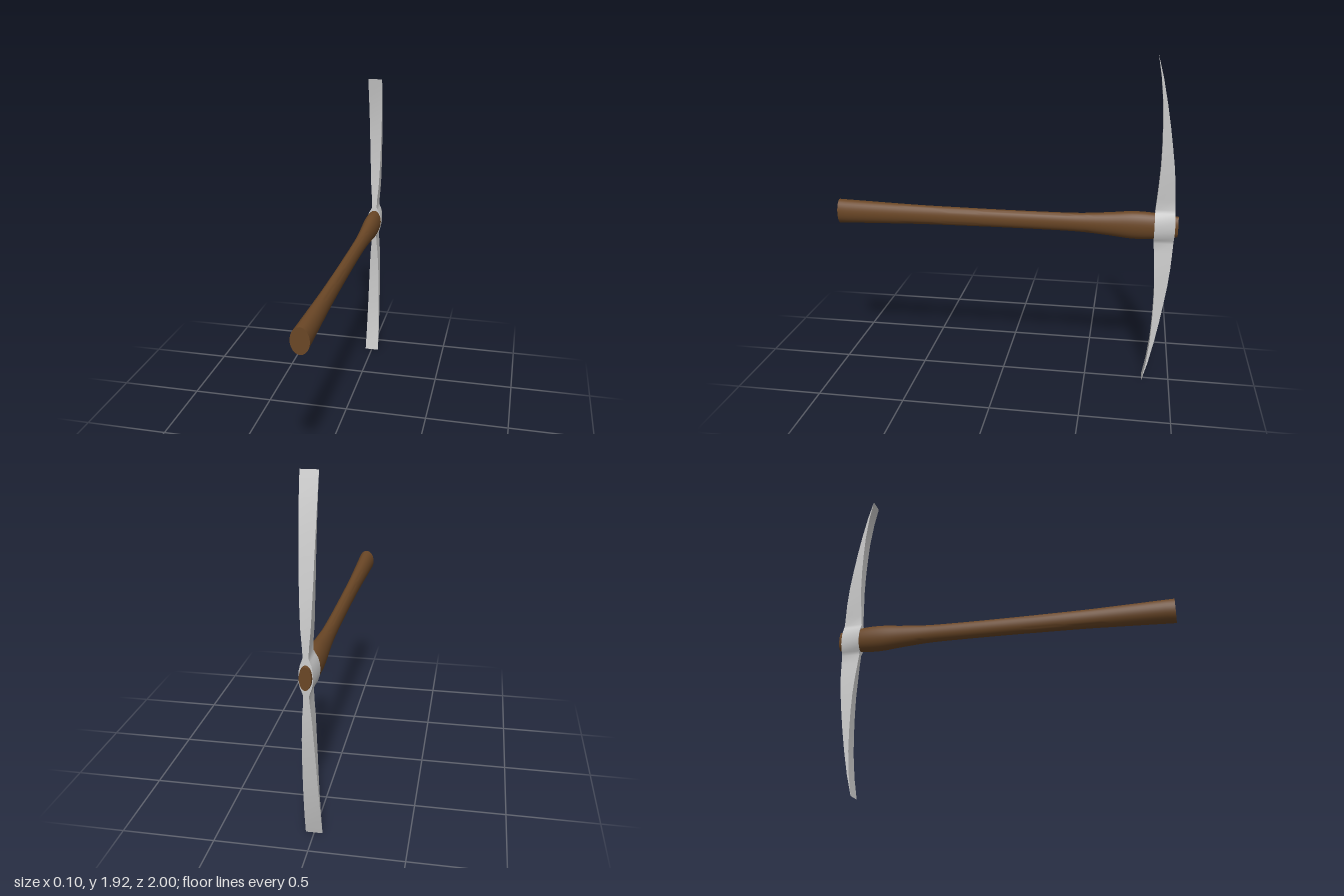
import * as THREE from 'three';
import { toCreasedNormals, mergeGeometries } from 'three/addons/utils/BufferGeometryUtils.js';

const AXIS_Y = 0.96; // height of the handle axis, also half the head's span

// Oval handle: a cylinder whose rings follow [half width, half height, z]
function handleGeometry() {
  const rings = new THREE.CatmullRomCurve3([
    [0.05, 0.073, 1], [0.044, 0.065, 0.75], [0.038, 0.058, 0.5], [0.035, 0.055, 0.25],
    [0.034, 0.053, 0], [0.034, 0.053, -0.25], [0.037, 0.056, -0.45], [0.044, 0.068, -0.61],
    [0.05, 0.081, -0.75], [0.046, 0.076, -0.87], [0.03, 0.06, -1],
  ].map((p) => new THREE.Vector3(...p)));
  const g = new THREE.CylinderGeometry(1, 1, 2, 32, 48);
  const pos = g.attributes.position;
  for (let i = 0; i < pos.count; i++) {
    const r = rings.getPoint((1 - pos.getY(i)) / 2);
    // local +y becomes the +z butt end
    pos.setXYZ(i, pos.getX(i) * r.x, -pos.getZ(i) * r.y, r.z);
  }
  return toCreasedNormals(g, 0.7);
}

// Head: four-sided sections along y, smooth lengthwise with sharp long edges
function headGeometry() {
  // [distance from axis, front z, back z, front half width, back half width]
  const half = [
    [0, -0.868, -0.983, 0.048, 0.035],
    [0.03, -0.868, -0.983, 0.046, 0.034],
    [0.06, -0.868, -0.981, 0.037, 0.028],
    [0.08, -0.868, -0.98, 0.025, 0.02],
    [0.1, -0.869, -0.979, 0.015, 0.014],
    [0.16, -0.874, -0.976, 0.018, 0.018],
    [0.24, -0.88, -0.971, 0.025, 0.025],
    [0.35, -0.886, -0.96, 0.03, 0.03],
    [0.46, -0.887, -0.944, 0.034, 0.034],
    [0.58, -0.884, -0.925, 0.037, 0.037],
    [0.7, -0.878, -0.903, 0.04, 0.04],
    [0.84, -0.862, -0.873, 0.043, 0.043],
    [0.96, -0.84, -0.84, 0.045, 0.045],
  ];
  const lower = half.slice(1).reverse().map(([d, ...rest]) => [-d, ...rest]);
  const corners = [...lower, ...half].map(([y, zf, zb, wf, wb]) => [
    [-wf, y, zf], [wf, y, zf], [wb, y, zb], [-wb, y, zb],
  ]);
  const sides = [0, 1, 2, 3].map((k) => {
    const verts = [], index = [];
    corners.forEach((c, i) => {
      verts.push(...c[k], ...c[(k + 1) % 4]);
      if (i < corners.length - 1) {
        const a = i * 2;
        index.push(a, a + 1, a + 3, a, a + 3, a + 2);
      }
    });
    const g = new THREE.BufferGeometry();
    g.setAttribute('position', new THREE.Float32BufferAttribute(verts, 3));
    g.setIndex(index);
    g.computeVertexNormals();
    return g;
  });
  return mergeGeometries(sides);
}

export function createModel() {
  const model = new THREE.Group();
  model.name = 'pickaxe';
  const addPart = (name, geometry, color) => {
    const mesh = new THREE.Mesh(geometry, new THREE.MeshStandardMaterial({ color }));
    mesh.name = name;
    mesh.position.y = AXIS_Y;
    model.add(mesh);
  };
  addPart('handle', handleGeometry(), 0x6b4726);
  addPart('head', headGeometry(), 0xcccccc);
  return model;
}
